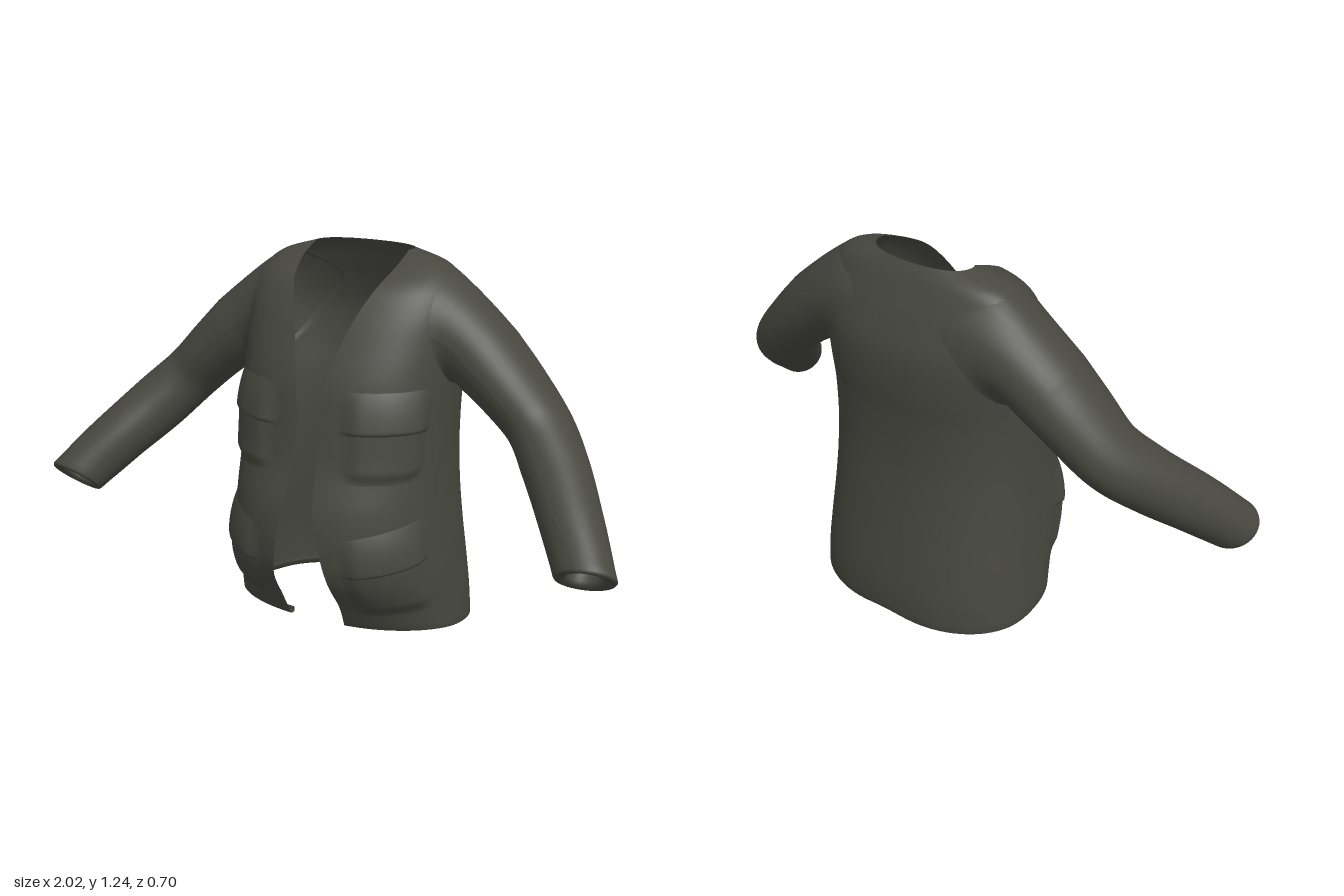
import * as THREE from 'three';

const cloth = new THREE.MeshStandardMaterial({ color: 0x474740, side: THREE.DoubleSide });
cloth.name = 'dark olive cloth';

// Body slices: height, half width, front z, back z, side z, half gap of the opening
const SLICES = [
  [0.00, 0.400, 0.22, -0.350, -0.05, 0.100],
  [0.10, 0.392, 0.265, -0.350, -0.05, 0.105],
  [0.22, 0.382, 0.33, -0.338, -0.04, 0.098],
  [0.35, 0.370, 0.352, -0.322, -0.03, 0.078],
  [0.47, 0.360, 0.342, -0.308, -0.03, 0.055],
  [0.60, 0.355, 0.300, -0.298, -0.03, 0.042],
  [0.75, 0.355, 0.275, -0.300, -0.04, 0.035],
  [0.86, 0.358, 0.255, -0.310, -0.06, 0.050],
  [0.98, 0.365, 0.205, -0.306, -0.08, 0.080],
  [1.08, 0.365, 0.150, -0.272, -0.09, 0.115],
  [1.15, 0.340, 0.095, -0.240, -0.10, 0.148],
  [1.20, 0.285, 0.010, -0.215, -0.11, 0.168],
  [1.235, 0.175, -0.070, -0.190, -0.105, 0.168],
];
const TOP = 1.235, POWER = 0.85;

// Smoothly interpolated slice at a height
function sliceAt(y) {
  const n = SLICES.length;
  let k = 0;
  while (k < n - 2 && y > SLICES[k + 1][0]) k++;
  const a = SLICES[k], b = SLICES[k + 1], h = b[0] - a[0];
  const t = THREE.MathUtils.clamp((y - a[0]) / h, 0, 1);
  const slope = (i, c) => {
    const p = SLICES[Math.max(i - 1, 0)], q = SLICES[Math.min(i + 1, n - 1)];
    return (q[c] - p[c]) / (q[0] - p[0]);
  };
  return a.map((_, c) => c === 0 ? y :
    (2 * t ** 3 - 3 * t * t + 1) * a[c] + (t ** 3 - 2 * t * t + t) * h * slope(k, c) +
    (3 * t * t - 2 * t ** 3) * b[c] + (t ** 3 - t * t) * h * slope(k + 1, c));
}

// Point on the body; angle is PI/2 at the front, 0 at the side, -PI/2 at the back
function bodyPoint(angle, y, side, offset = 0) {
  const [, w, f, b, zc] = sliceAt(y);
  const c = Math.max(Math.cos(angle), 0), s = Math.sin(angle);
  const depth = s > 0 ? f - zc : zc - b;
  const x = w * c ** POWER, z = zc + Math.sign(s) * depth * Math.abs(s) ** POWER;
  const n = new THREE.Vector2(c / w, s / depth).normalize();
  const hem = 0.025 + 0.022 * Math.sin(THREE.MathUtils.clamp(z * 8, -1.57, 1.57))
    + (s < 0 ? 0.015 * Math.exp(-x * x * 80) : 0);
  const lift = hem * Math.max(0, 1 - y / 0.3);
  return new THREE.Vector3(side * (x + n.x * offset), y + lift, z + n.y * offset);
}

// Point on the body's side at a given height and depth
function bodySide(y, z) {
  const [, , f, b, zc] = sliceAt(y);
  const ratio = Math.min(Math.abs(z - zc) / (z > zc ? f - zc : zc - b), 1);
  return bodyPoint(Math.sign(z - zc) * Math.asin(ratio ** (1 / POWER)), y, 1, -0.004);
}

// Smooth surface through a grid of points
function loft(rows, flip = false) {
  const cols = rows[0].length, index = [];
  for (let i = 0; i < rows.length - 1; i++) {
    for (let j = 0; j < cols - 1; j++) {
      const a = i * cols + j, b = a + 1, c = a + cols, d = c + 1;
      index.push(...(flip ? [a, b, c, b, d, c] : [a, c, b, b, c, d]));
    }
  }
  const g = new THREE.BufferGeometry().setFromPoints(rows.flat());
  g.setIndex(index);
  g.computeVertexNormals();
  return g;
}

function addMesh(parent, name, geometry) {
  const mesh = new THREE.Mesh(geometry, cloth);
  mesh.name = name;
  parent.add(mesh);
}

// Open-fronted body with a hem turned inwards
function bodyGeometry() {
  const rows = [];
  const makeRow = (y, offset) => {
    const [, w, , , , gap] = sliceAt(y), row = [];
    const start = Math.acos(Math.min(gap / w, 1) ** (1 / POWER));
    for (let j = -48; j <= 48; j++) {
      const angle = THREE.MathUtils.lerp(-Math.PI / 2, start, Math.abs(j) / 48);
      row.push(bodyPoint(angle, y, Math.sign(j), offset));
    }
    rows.push(row);
  };
  makeRow(0.02, -0.025);
  makeRow(0, -0.018);
  makeRow(-0.004, -0.007);
  for (let i = 0; i <= 70; i++) makeRow(TOP * (1 - (1 - i / 70) ** 1.6), 0);
  return loft(rows);
}

// Padded patch lying on the body; profile gives its height over the cloth
function patchGeometry(side, angles, heights, tilt, sag, profile) {
  const rows = [], N = 24;
  for (let i = 0; i <= N; i++) {
    const row = [], v = i / N;
    for (let j = 0; j <= N; j++) {
      const u = j / N, angle = THREE.MathUtils.lerp(angles[0], angles[1], u);
      const y = THREE.MathUtils.lerp(heights[0], heights[1], v) + tilt * (0.5 - u)
        - sag * (1 - (2 * u - 1) ** 4) * (1 - v);
      row.push(bodyPoint(angle, y, side, profile(u, v) + 0.0005));
    }
    rows.push(row);
  }
  return loft(rows, side < 0);
}
const ramp = (d, width) => THREE.MathUtils.smoothstep(d, 0, width);
const pocketProfile = (u, v) => 0.015 * ramp(Math.min(u, 1 - u), 0.2) * ramp(v, 0.2) * ramp(1 - v, 0.2);
const flapProfile = (u, v) => 0.023 * ramp(Math.min(u, 1 - u), 0.18) * ramp(v, 0.14) * (1 - v * v);

// Sleeve stations: centre x, y, z, then radius up-down and front-back
const SLEEVE = [
  [0.445, 0.920, -0.085, 0.120, 0.148],
  [0.53, 0.845, -0.075, 0.108, 0.140],
  [0.64, 0.735, -0.050, 0.098, 0.122],
  [0.73, 0.635, 0.035, 0.101, 0.108],
  [0.83, 0.52, 0.160, 0.095, 0.098],
  [0.915, 0.41, 0.273, 0.095, 0.086],
];
const CUFF_AXIS = new THREE.Vector3(0.14, -0.74, 0.66).normalize();
const SEGMENTS = 40;

function sleeveGeometry(side) {
  const path = new THREE.CatmullRomCurve3(SLEEVE.map(s => new THREE.Vector3(s[0], s[1], s[2])));
  const radii = new THREE.CatmullRomCurve3(SLEEVE.map(s => new THREE.Vector3(s[3], s[4], 0)));
  const ring = (t, scale, along) => {
    const dir = path.getTangent(t).lerp(CUFF_AXIS, THREE.MathUtils.smoothstep(t, 0.75, 1)).normalize();
    const r = radii.getPoint(t), centre = path.getPoint(t).addScaledVector(dir, along);
    const across = new THREE.Vector3(0, 0, 1).addScaledVector(dir, -dir.z).normalize();
    // Near the cuff the ring's axes are taken from the sideways direction
    const up = new THREE.Vector3().crossVectors(dir, across);
    return Array.from({ length: SEGMENTS + 1 }, (_, j) => {
      const a = j / SEGMENTS * Math.PI * 2;
      return centre.clone().addScaledVector(across, Math.cos(a) * r.y * scale)
        .addScaledVector(up, -Math.sin(a) * r.x * scale);
    });
  };

  // Shoulder: curves from the armhole on the body into the first sleeve ring
  const first = ring(0, 1, 0), axis = path.getTangent(0), rows = [];
  const shoulder = first.map((end, j) => {
    const a = j / SEGMENTS * Math.PI * 2;
    const start = bodySide(1.01 + 0.19 * Math.sin(a), -0.095 + 0.18 * Math.cos(a));
    const control = end.clone().addScaledVector(axis, -0.8 * end.distanceTo(start));
    return new THREE.QuadraticBezierCurve3(start, control, end);
  });
  for (let i = 0; i < 14; i++) rows.push(shoulder.map(curve => curve.getPoint(i / 14)));
  rows.push(first);
  for (let i = 1; i <= 36; i++) rows.push(ring(i / 36, 1, 0));
  // Rounded cuff turned back into the sleeve
  [[0.95, 0.007], [0.84, 0.008], [0.66, 0.003], [0.57, -0.008], [0.55, -0.04], [0.56, -0.10]]
    .forEach(([scale, along]) => rows.push(ring(1, scale, along)));

  rows.flat().forEach(p => { p.x *= side; });
  return loft(rows, side < 0);
}

export function createModel() {
  const jacket = new THREE.Group();
  jacket.name = 'jacket';
  addMesh(jacket, 'body', bodyGeometry());

  for (const [label, side] of [['left', 1], ['right', -1]]) {
    addMesh(jacket, label + 'Sleeve', sleeveGeometry(side));
    addMesh(jacket, label + 'ChestPocket',
      patchGeometry(side, [0.40, 1.29], [0.585, 0.77], 0, 0.02, pocketProfile));
    addMesh(jacket, label + 'ChestFlap',
      patchGeometry(side, [0.36, 1.32], [0.715, 0.85], 0, 0.006, flapProfile));
    addMesh(jacket, label + 'HipPocket',
      patchGeometry(side, [0.40, 1.24], [0.09, 0.36], 0.03, 0.01, pocketProfile));
    addMesh(jacket, label + 'HipFlap',
      patchGeometry(side, [0.36, 1.24], [0.275, 0.42], 0.05, 0.006, flapProfile));
  }
  return jacket;
}
